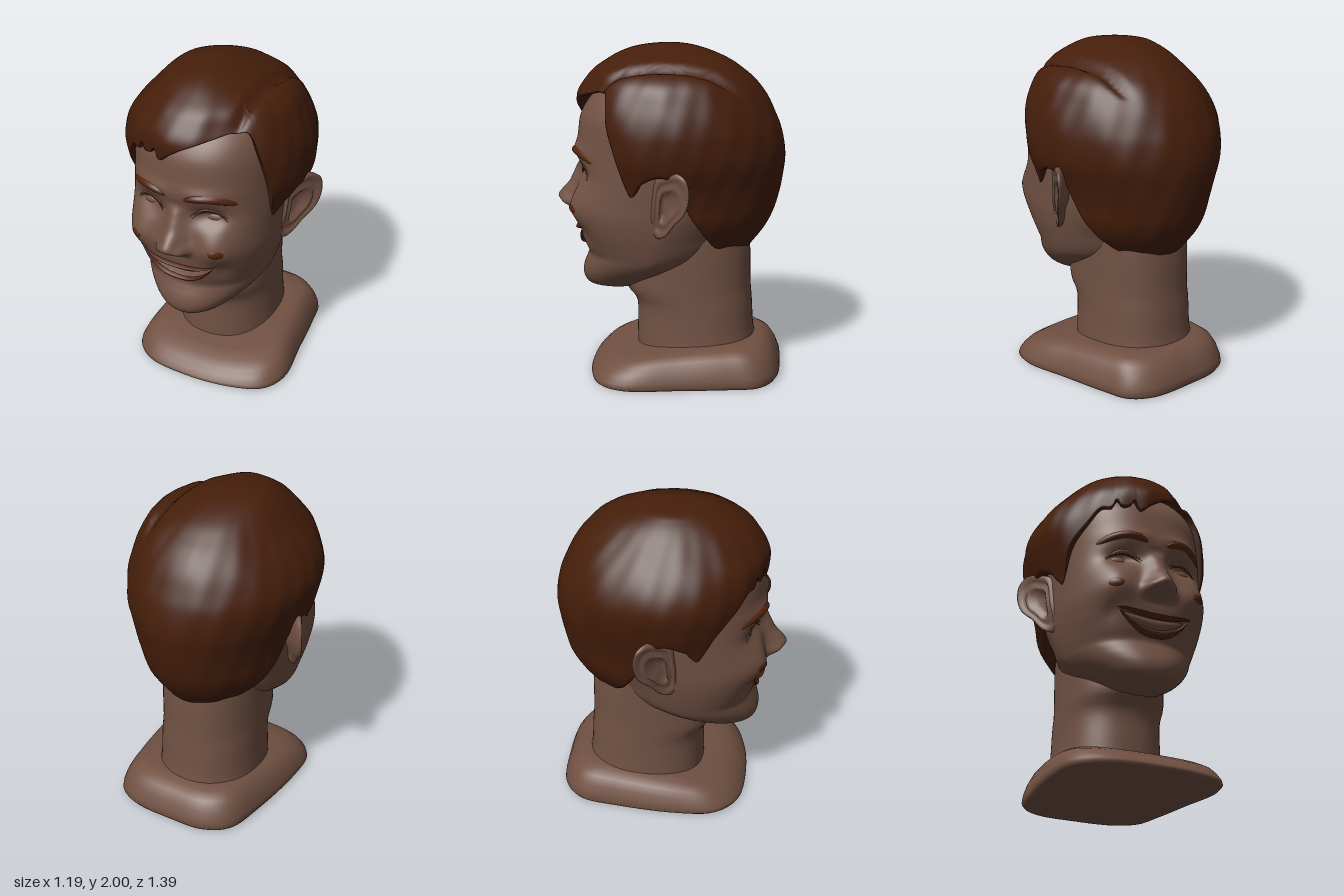
import * as THREE from 'three';
import { mergeVertices } from 'three/addons/utils/BufferGeometryUtils.js';

const mat = (name, color) => {
  const m = new THREE.MeshStandardMaterial({ color, side: THREE.DoubleSide });
  m.name = name;
  return m;
};

const clamp = (v) => Math.min(1, Math.max(0, v));
const smooth = (a, b, v) => { const t = clamp((v - a) / (b - a)); return t * t * (3 - 2 * t); };
const bump = (x, y, cx, cy, rx, ry) => Math.exp(-(((x - cx) / rx) ** 2) - ((y - cy) / ry) ** 2);

// smooth lookup in rows of [key, value, value, ...]
function lookup(rows, key, col = 1) {
  const n = rows.length - 1;
  if (key <= rows[0][0]) return rows[0][col];
  if (key >= rows[n][0]) return rows[n][col];
  let i = 0;
  while (rows[i + 1][0] < key) i++;
  const slope = (k) => {
    const a = rows[Math.max(0, k - 1)], b = rows[Math.min(n, k + 1)];
    return (b[col] - a[col]) / (b[0] - a[0]);
  };
  const h = rows[i + 1][0] - rows[i][0], t = (key - rows[i][0]) / h;
  const p = rows[i][col], q = rows[i + 1][col], t2 = t * t, t3 = t2 * t;
  return p * (2 * t3 - 3 * t2 + 1) + q * (3 * t2 - 2 * t3)
    + h * (slope(i) * (t3 - 2 * t2 + t) + slope(i + 1) * (t3 - t2));
}

// surface from a rule; u runs right and v runs up when seen from outside
function grid(nu, nv, rule) {
  const pos = [], idx = [];
  for (let j = 0; j <= nv; j++) for (let i = 0; i <= nu; i++) pos.push(...rule(i / nu, j / nv, j));
  for (let j = 0; j < nv; j++) for (let i = 0; i < nu; i++) {
    const a = j * (nu + 1) + i, b = a + 1, c = a + nu + 1, d = c + 1;
    idx.push(a, b, d, a, d, c);
  }
  let g = new THREE.BufferGeometry();
  g.setAttribute('position', new THREE.Float32BufferAttribute(pos, 3));
  g.setIndex(idx);
  g = mergeVertices(g, 1e-5);
  g.computeVertexNormals();
  return g;
}

function mirror(geo) {
  const g = geo.clone().scale(-1, 1, 1), ix = g.index.array;
  for (let i = 0; i < ix.length; i += 3) [ix[i], ix[i + 1]] = [ix[i + 1], ix[i]];
  g.computeVertexNormals();
  return g;
}

// head sections: y, front z, back z, half width
const HEAD = [
  [0.5, 0.45, 0.26, 0.07], [0.515, 0.5, 0.14, 0.135], [0.55, 0.53, 0.05, 0.205], [0.6, 0.54, -0.08, 0.268],
  [0.65, 0.53, -0.2, 0.322], [0.7, 0.51, -0.28, 0.36], [0.74, 0.498, -0.34, 0.38], [0.8, 0.52, -0.4, 0.4],
  [0.9, 0.55, -0.45, 0.425], [1, 0.56, -0.48, 0.44], [1.1, 0.55, -0.51, 0.445], [1.2, 0.55, -0.55, 0.45],
  [1.35, 0.56, -0.6, 0.455], [1.5, 0.55, -0.6, 0.458], [1.6, 0.53, -0.6, 0.45], [1.7, 0.465, -0.56, 0.425],
  [1.8, 0.36, -0.46, 0.36], [1.86, 0.24, -0.33, 0.25], [1.9, 0.1, -0.15, 0.1],
];
const squareness = (y) => 2.2 + 0.5 * smooth(0.6, 1, y) - 0.3 * smooth(1.15, 1.45, y);
const NOSE = [[0.96, 0], [0.98, 0.015], [1, 0.045], [1.03, 0.112], [1.06, 0.138], [1.1, 0.118], [1.15, 0.075], [1.2, 0.05], [1.25, 0.025], [1.3, -0.005], [1.34, 0]];
const upperLip = (x) => 0.883 + 0.032 * (x / 0.23) ** 2;
const lowerLip = (x) => 0.78 + 0.12 * Math.abs(x / 0.22) ** 2.4;

function faceRelief(x0, y, mouth = true) {
  const x = Math.abs(x0), noseWidth = 0.075 - 0.03 * smooth(1.05, 1.35, y);
  let d = lookup(NOSE, y) * Math.exp(-((x / noseWidth) ** 2.3));
  d += 0.045 * bump(x, y, 0.075, 1.03, 0.035, 0.035);   // nostril wings
  d -= 0.055 * bump(x, y, 0.19, 1.245, 0.11, 0.06);     // eye sockets
  d += 0.02 * bump(x, y, 0.17, 1.385, 0.15, 0.045);     // brow ridge
  d += 0.065 * bump(x, y, 0.27, 1.06, 0.13, 0.11);      // cheeks
  d -= 0.015 * bump(x, y, 0.26, 0.89, 0.05, 0.06);      // mouth corners
  if (mouth) d -= 0.075 * smooth(0, 0.02, upperLip(x) - y) * smooth(0, 0.02, y - lowerLip(x));
  return d;
}

function faceZ(x, y) {
  const [zf, zb, w] = [1, 2, 3].map((c) => lookup(HEAD, y, c)), cz = (zf + zb) / 2, n = squareness(y);
  return cz + (zf - cz) * Math.max(0, 1 - Math.abs(x / w) ** n) ** (1 / n) + faceRelief(x, y, false);
}

// thin band lying on the face: centre x, half length, height rule, half width rule, thickness
const band = (xc, len, yc, half, lift, sink = 0.004) => grid(36, 8, (u, v) => {
  const t = 2 * u - 1, k = 2 * v - 1, x = xc + t * len, y = yc(t, x) + k * half(t);
  return [x, y, faceZ(x, y) - sink + lift * (1 - k * k) * (1 - 0.7 * t ** 4)];
});

const headGeometry = () => grid(190, 140, (u, v, j) => {
  const t = (2 * u - 1) * Math.PI, a = t - 0.45 * Math.sin(t), y = 0.5 + 1.4 * v;
  const [zf, zb, w] = [1, 2, 3].map((c) => lookup(HEAD, y, c)), cz = (zf + zb) / 2, rz = zf - cz;
  if (j === 0 || j === 140) return [0, y, cz];
  const n = Math.cos(a) > 0 ? squareness(y) : 1.6 + 0.4 * smooth(0.85, 1.1, y);
  const r = (Math.abs(Math.sin(a) / w) ** n + Math.abs(Math.cos(a) / rz) ** n) ** (-1 / n);
  const x = u === 0 || u === 1 ? 0 : r * Math.sin(a), z = r * Math.cos(a);
  return [x, y, cz + z + faceRelief(x, y) * smooth(0, 0.2, z)];
});

// hair sections by root of the drop from the crown: front z, back z, left x, right x
const HAIR = [
  [2, 0, 0, 0, 0], [1.98, 0.21, 0.16, 0.08, 0.2], [1.95, 0.3, 0.26, 0.16, 0.26], [1.9, 0.39, 0.37, 0.28, 0.32],
  [1.85, 0.46, 0.44, 0.39, 0.365], [1.8, 0.505, 0.5, 0.45, 0.41], [1.7, 0.565, 0.58, 0.5, 0.495], [1.6, 0.565, 0.63, 0.535, 0.55],
  [1.5, 0.55, 0.67, 0.55, 0.57], [1.35, 0.53, 0.695, 0.54, 0.54], [1.2, 0.5, 0.68, 0.49, 0.49], [1.1, 0.5, 0.66, 0.465, 0.465],
  [1, 0.5, 0.63, 0.45, 0.45], [0.9, 0.5, 0.58, 0.405, 0.405], [0.78, 0.45, 0.49, 0.31, 0.31],
].map(([y, ...r]) => [Math.sqrt(2 - y), ...r]);
// hairline height by angle from the front
const HAIRLINE = [
  [-180, 0.78], [-150, 0.79], [-135, 0.84], [-122, 0.93], [-109, 1.08], [-101, 1.24], [-90, 1.3], [-76, 1.25], [-72, 1.2], [-66, 1.17],
  [-57, 1.35], [-43, 1.49], [-35, 1.57], [-28, 1.575], [-25, 1.63], [-22, 1.585], [-16, 1.6], [-14, 1.635], [-11, 1.565], [-4, 1.61], [6, 1.67],
  [21, 1.72], [45, 1.755], [49, 1.7], [52, 1.6], [61, 1.35], [66, 1.17], [72, 1.2], [76, 1.25], [90, 1.3], [101, 1.24],
  [109, 1.08], [122, 0.93], [135, 0.84], [150, 0.79], [180, 0.78],
];

const hairGeometry = () => grid(240, 56, (u, v, j) => {
  const deg = 360 * u - 180, a = deg * Math.PI / 180, low = lookup(HAIRLINE, deg);
  if (j === 56) return [0, 2, 0];
  const s = clamp((v - 2 / 56) / (1 - 2 / 56));               // two rows tuck under the edge
  let y = 2 - (2 - low) * (1 - s) ** 1.6;
  const [f, b, xr, xl] = [1, 2, 3, 4].map((c) => lookup(HAIR, Math.sqrt(2 - y), c));
  const rx = a > 0 ? xr : xl, rz = Math.abs(deg) < 90 ? f : b;
  let r = 1 / Math.hypot(Math.sin(a) / rx, Math.cos(a) / rz);
  r *= 1 - 0.09 * Math.exp(-(((deg - 30) / 16) ** 2)) * smooth(1.95, 1.75, y);
  r *= 1 + (0.005 * Math.sin(11 * a + 9 * y) + 0.003 * Math.sin(23 * a - 13 * y)) * smooth(2, 1.8, y) * smooth(180, 165, Math.abs(deg));
  if (j < 2) { r *= j === 0 ? 0.82 : 0.97; y += j === 0 ? 0.03 : -0.006; }
  const x = r * Math.sin(a), z = r * Math.cos(a);
  y -= 0.036 * Math.exp(-(((x - 0.3) / 0.03) ** 2)) * smooth(1.72, 1.82, y);   // parting
  return [u === 0 || u === 1 ? 0 : x, y, z];
});

function earGeometry() {
  const outline = new THREE.CatmullRomCurve3([
    [0.03, 0.915], [-0.02, 0.94], [-0.075, 1.02], [-0.14, 1.1], [-0.17, 1.2], [-0.155, 1.29],
    [-0.1, 1.33], [-0.03, 1.31], [0.035, 1.27], [0.06, 1.15], [0.07, 1], [0.065, 0.94],
  ].map(([z, y]) => new THREE.Vector3(0, y, z)), true);
  // size and outward height, from the root round the rim into the hollow
  const rows = [[0.45, -0.16], [0.7, -0.08], [0.9, -0.05], [0.98, -0.03], [1, -0.01], [0.97, 0.01], [0.88, 0.015], [0.78, 0.002],
    [0.68, -0.008], [0.58, 0.004], [0.48, -0.004], [0.36, -0.03], [0.18, -0.035], [0, -0.035]];
  return grid(56, rows.length - 1, (u, v, j) => {
    const p = outline.getPoint(u % 1), [k, h] = rows[j];
    const z = -0.04 + (p.z + 0.04) * k, y = 1.12 + (p.y - 1.12) * k;
    return [0.447 + 0.6 * Math.max(0, 0.06 - z) - 0.03 * smooth(1.12, 0.92, y) + h, y, z - h * 0.3];
  });
}

const NECK = [[0.1, 0.2, 0.55, 0.32], [0.25, 0.2, 0.52, 0.308], [0.4, 0.2, 0.51, 0.303], [0.46, 0.22, 0.505, 0.303], [0.52, 0.27, 0.5, 0.303], [0.8, 0.25, 0.49, 0.305], [1.05, 0.2, 0.45, 0.3]];
const neckGeometry = () => grid(72, 24, (u, v) => {
  const a = (2 * u - 1) * Math.PI, y = 0.1 + 0.95 * v, n = 2.3;
  const [f, b, w] = [1, 2, 3].map((c) => lookup(NECK, y, c)), cz = (f - b) / 2, rz = (f + b) / 2;
  const r = (Math.abs(Math.sin(a) / w) ** n + Math.abs(Math.cos(a) / rz) ** n) ** (-1 / n);
  return [r * Math.sin(a), y, cz + r * Math.cos(a)];
});

// height of the shoulder slab from back to front
const SLAB = [[-0.7, 0.225], [-0.4, 0.22], [0, 0.19], [0.2, 0.16], [0.36, 0.125], [0.48, 0.085]];
function baseGeometry() {
  const outline = new THREE.CatmullRomCurve3([
    [0, 0.48], [0.3, 0.45], [0.49, 0.37], [0.56, 0.22], [0.52, -0.1], [0.475, -0.4], [0.43, -0.58], [0.3, -0.67],
    [0, -0.69], [-0.22, -0.67], [-0.36, -0.57], [-0.42, -0.3], [-0.45, 0.1], [-0.42, 0.31], [-0.28, 0.44],
  ].map(([x, z]) => new THREE.Vector3(x, 0, z)), true);
  const rows = [[0, 0], [0.95, 0], [0.975, 0], [1, 0.1], [0.99, 0.28], [0.95, 0.55], [0.89, 0.8], [0.8, 0.95], [0.66, 1], [0, 1]];
  return grid(90, rows.length - 1, (u, v, j) => {
    const p = outline.getPoint(u % 1), [k, f] = rows[j];
    const x = 0.04 + (p.x - 0.04) * k, z = -0.1 + (p.z + 0.1) * k;
    return [x, f * lookup(SLAB, z), z];
  });
}

export function createModel() {
  const model = new THREE.Group();
  model.name = 'headBust';
  const skin = mat('skin', 0x715143);
  const hair = mat('hair', 0x451e0a);
  const paint = mat('reddishBrown', 0x55250f);
  const add = (name, geo, material) => {
    const m = new THREE.Mesh(geo, material);
    m.name = name;
    model.add(m);
    return m;
  };

  add('base', baseGeometry(), skin);
  add('neck', neckGeometry(), skin);
  add('head', headGeometry(), skin);
  add('hair', hairGeometry(), hair);
  const ear = earGeometry();
  add('leftEar', ear, skin);
  add('rightEar', mirror(ear), skin);

  // mouth
  const taper = (w) => (t) => w * (1 - 0.75 * t * t);
  add('upperLip', band(0, 0.235, (t, x) => upperLip(x), taper(0.015), 0.03), paint);
  add('lowerLip', band(0, 0.215, (t, x) => lowerLip(x), taper(0.019), 0.03), paint);
  add('upperTeeth', band(0, 0.185, (t, x) => 0.85 + 0.045 * (x / 0.2) ** 2, taper(0.03), 0.012, 0.03), skin);

  // eyes, brows and cheek spots on both sides
  for (const [side, s] of [['left', 1], ['right', -1]]) {
    const eye = add(side + 'Eye', new THREE.SphereGeometry(1, 32, 20), skin);
    eye.scale.set(0.098, 0.05, 0.075);
    eye.position.set(0.19 * s, 1.232, 0.412);
    const lidLine = (t) => 1.286 - 0.055 * t * t;
    add(side + 'UpperLid', band(0.19 * s, 0.108, lidLine, taper(0.014), 0.012), skin);
    add(side + 'Lashes', band(0.195 * s, 0.1, (t) => lidLine(t) - 0.012, taper(0.004), 0.016), paint);
    add(side + 'Eyebrow', band(0.2 * s, 0.14, (t) => 1.378 - 0.036 * t * t - 0.008 * t * s,
      (t) => 0.029 * Math.sqrt(Math.max(0, 1 - t ** 4)), 0.02), paint);
    add(side + 'CheekSpot', band(0.265 * s, 0.04, () => 1.04, (t) => 0.028 * Math.sqrt(Math.max(0, 1 - t * t)), 0.006, -0.003), paint);
  }
  return model;
}
